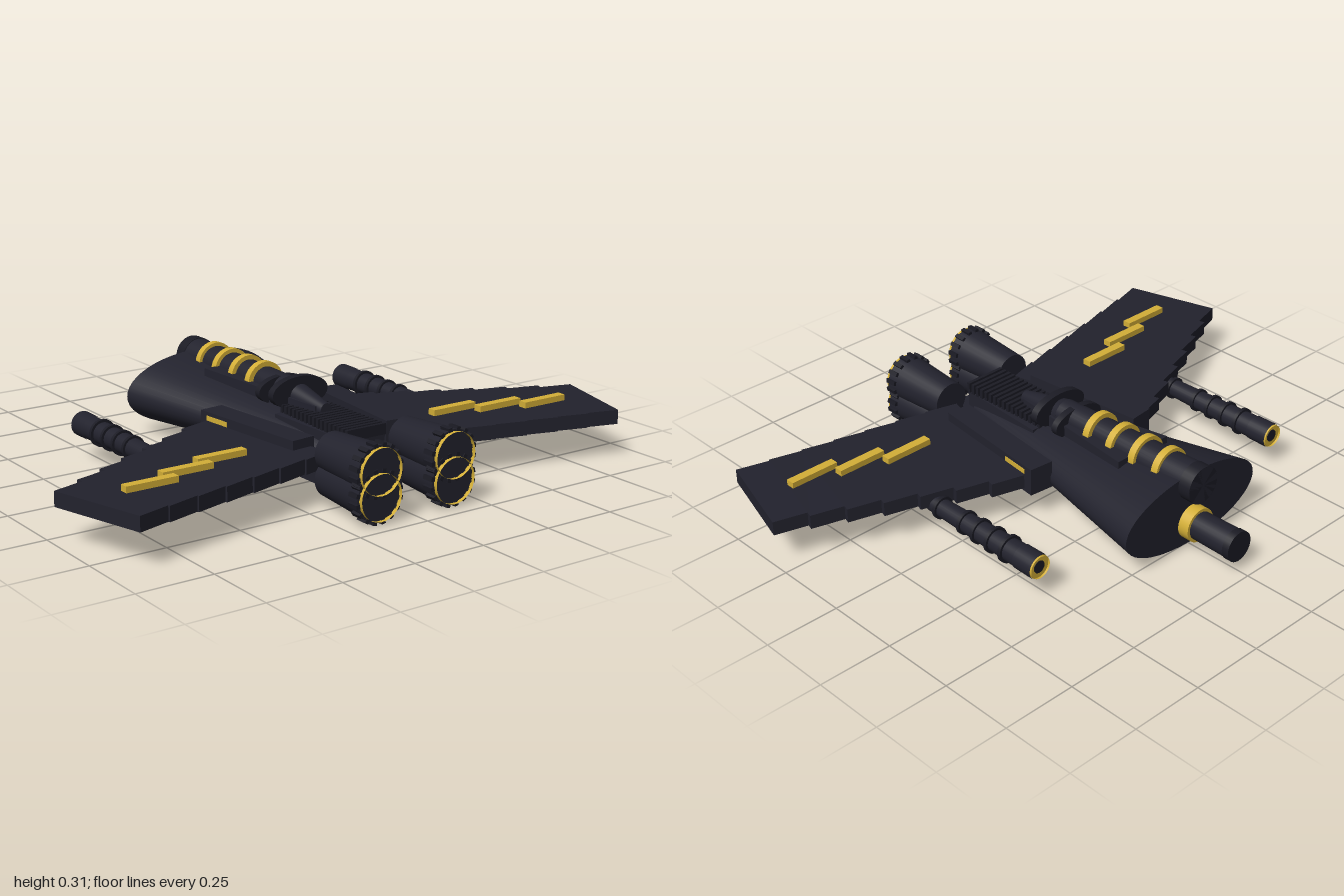
import * as THREE from 'three';

export function createModel() {
  const root = new THREE.Group();
  root.name = 'twinEngineFighter';
  const hullMat = new THREE.MeshStandardMaterial({ color: 0x22222d });
  hullMat.name = 'dark hull';
  const trimMat = new THREE.MeshStandardMaterial({ color: 0x1b1b24 });
  trimMat.name = 'dark trim';
  const goldMat = new THREE.MeshStandardMaterial({ color: 0xd4af37, side: THREE.DoubleSide });
  goldMat.name = 'gold';
  const lerp = THREE.MathUtils.lerp;

  function add(name, geo, mat, x = 0, y = 0, z = 0, parent = root) {
    const m = new THREE.Mesh(geo, mat);
    m.name = name;
    m.position.set(x, y, z);
    parent.add(m);
    return m;
  }
  const box = (name, mat, w, h, d, x, y, z) => add(name, new THREE.BoxGeometry(w, h, d), mat, x, y, z);

  // Round part along z, radius r0 at z0 and r1 at z1
  function tube(name, mat, r0, r1, z0, z1, x, y, open = false, sides = 28) {
    const geo = new THREE.CylinderGeometry(r1, r0, z1 - z0, sides, 1, open).rotateX(Math.PI / 2);
    return add(name, geo, mat, x, y, (z0 + z1) / 2);
  }

  // Loft a unit solid along z between two sections [z, centreY, halfWidth, halfHeight]
  function loft(name, geo, mat, a, b) {
    const p = geo.attributes.position;
    for (let i = 0; i < p.count; i++) {
      const t = p.getZ(i) + 0.5;
      p.setXYZ(i, p.getX(i) * lerp(a[2], b[2], t),
        lerp(a[1], b[1], t) + p.getY(i) * lerp(a[3], b[3], t), lerp(a[0], b[0], t));
    }
    geo.computeVertexNormals();
    return add(name, geo, mat);
  }
  const round = () => new THREE.CylinderGeometry(1, 1, 1, 48).rotateX(Math.PI / 2);
  const block = () => new THREE.BoxGeometry(2, 2, 1);

  // Flared oval fuselage
  loft('fuselage', round(), hullMat, [-0.51, 0.14, 0.29, 0.128], [0.42, 0.118, 0.08, 0.05]);

  // Belly plates and tail
  loft('bellyPlate', block(), hullMat, [-0.35, 0.048, 0.1, 0.027], [0.46, 0.048, 0.1, 0.027]);
  loft('bellySkid', block(), trimMat, [-0.1, 0.02, 0.06, 0.007], [0.43, 0.02, 0.06, 0.007]);
  loft('tailWedge', block(), hullMat, [0.45, 0.05, 0.075, 0.027], [0.57, 0.05, 0.045, 0.027]);
  loft('spineDeck', block(), hullMat, [0.1, 0.17, 0.1, 0.025], [0.45, 0.155, 0.07, 0.03]);

  // Ribbed spine behind the cockpit
  for (let i = 0; i < 17; i++) {
    box('spineRib', trimMat, 0.15, 0.036, 0.012, 0, 0.202, 0.1 + i * 0.0215);
  }

  // Dorsal housing with gold bands
  tube('dorsalTube', hullMat, 0.0625, 0.047, -0.555, 0.05, 0, 0.242);
  tube('dorsalCollar', trimMat, 0.0635, 0.0635, -0.555, -0.51, 0, 0.242);
  loft('dorsalTail', round(), hullMat, [0.05, 0.242, 0.047, 0.046], [0.24, 0.222, 0.022, 0.024]);
  loft('dorsalFairing', block(), hullMat, [-0.3, 0.225, 0.11, 0.034], [0.22, 0.205, 0.03, 0.03]);
  for (let i = 0; i < 4; i++) {
    const z = -0.41 + i * 0.1;
    tube('dorsalBand', goldMat, 0.069, 0.069, z - 0.0125, z + 0.0125, 0, 0.243 - i * 0.001);
  }
  tube('rearHoop', trimMat, 0.054, 0.054, 0.073, 0.1, 0, 0.25).scale.x = 2;
  tube('frontHoop', trimMat, 0.048, 0.048, -0.012, 0.012, 0, 0.24).scale.x = 2.1;

  // Nose cannon
  tube('noseBand', goldMat, 0.058, 0.058, -0.55, -0.5, 0, 0.092);
  tube('noseBarrel', hullMat, 0.05, 0.047, -0.705, -0.5, 0, 0.092);
  tube('noseMuzzle', trimMat, 0.052, 0.052, -0.71, -0.685, 0, 0.092);

  const sweep = THREE.MathUtils.degToRad(16);
  for (const s of [-1, 1]) {
    const side = s > 0 ? 'left' : 'right';

    // Swept wing of stepped panels
    const panels = 7, u0 = 0.25, du = 0.79 / panels;
    for (let i = 0; i < panels; i++) {
      const t = i / (panels - 1);
      const v0 = lerp(-0.116, 0.012, t), v1 = lerp(0.387, 0.347, t);
      const u = u0 + (i + 0.5) * du, v = (v0 + v1) / 2;
      const panel = box(side + 'WingPanel', hullMat, du + 0.001, 0.048, v1 - v0,
        s * (u * Math.cos(sweep) - v * Math.sin(sweep)), 0.141,
        u * Math.sin(sweep) + v * Math.cos(sweep));
      panel.rotation.y = -s * sweep;
    }

    // Gold wing markings, each a staggered bar
    for (let i = 0; i < 3; i++) {
      box(side + 'WingStripe', goldMat, 0.174, 0.02, 0.03, s * (0.451 + i * 0.151), 0.175, 0.32 + i * 0.05);
    }

    // Wing root fairing with a gold side mark
    const fairing = box(side + 'WingRoot', hullMat, 0.085, 0.095, 0.45, s * 0.205, 0.148, 0.148);
    fairing.rotation.y = -s * 0.1;
    const mark = box(side + 'RootMark', goldMat, 0.008, 0.016, 0.1, s * 0.26, 0.175, 0.01);
    mark.rotation.y = -s * 0.1;
    for (let i = 0; i < 5; i++) {
      const z = 0.0 + i * 0.055;
      const vent = box(side + 'RootVent', trimMat, 0.006, 0.04, 0.03, s * (0.176 - z * 0.1), 0.145, z);
      vent.rotation.y = -s * 0.1;
    }

    // Stacked engines with toothed rims and gold nozzle bands
    for (const y of [0.09, 0.17]) {
      const x = s * 0.14;
      tube(side + 'Engine', hullMat, 0.064, 0.08, 0.46, 0.695, x, y);
      tube(side + 'NozzleBand', goldMat, 0.074, 0.074, 0.69, 0.709, x, y, true);
      for (let k = 0; k < 16; k++) {
        const a = (k + 0.5) / 16 * Math.PI * 2;
        const tooth = box(side + 'EngineTooth', trimMat, 0.014, 0.014, 0.04,
          x + 0.08 * Math.cos(a), y + 0.08 * Math.sin(a), 0.678);
        tooth.rotation.z = a;
      }
    }

    // Wing cannon: ringed barrel with a gold lined muzzle
    const gx = s * 0.53, gy = 0.117;
    tube(side + 'CannonBarrel', hullMat, 0.04, 0.029, -0.36, 0.1, gx, gy);
    tube(side + 'CannonMuzzle', hullMat, 0.042, 0.041, -0.388, -0.31, gx, gy, true);
    tube(side + 'MuzzleLiner', goldMat, 0.038, 0.038, -0.391, -0.355, gx, gy, true);
    const face = add(side + 'MuzzleFace', new THREE.RingGeometry(0.02, 0.04, 28), goldMat, gx, gy, -0.384);
    face.rotation.y = Math.PI;
    tube(side + 'MuzzleCore', trimMat, 0.021, 0.021, -0.386, -0.35, gx, gy);
    [-0.255, -0.19, -0.125, -0.06, 0.055].forEach((z, i) =>
      tube(side + 'CannonRing', trimMat, 0.046 - i * 0.002, 0.046 - i * 0.002, z - 0.006, z + 0.006, gx, gy));
  }
  return root;
}
